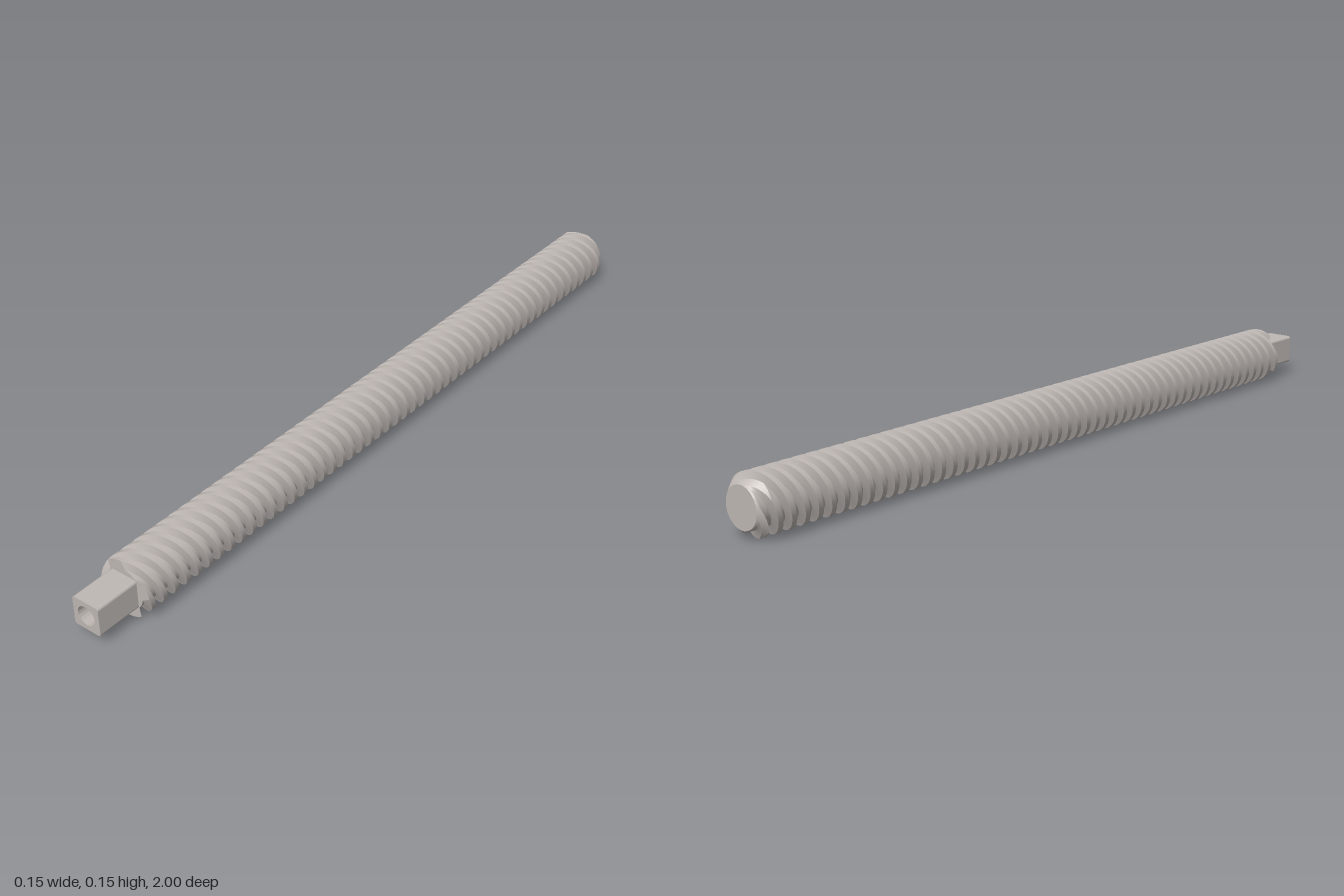
import * as THREE from 'three';

const AXIS_Y = 0.073;
const R = 0.073, ROOT = 0.053;          // crest and root radii
const STARTS = 4, LEAD = 0.147;         // four-start right-hand thread
const FRONT = 0.885, BACK = -1, CHAMFER = -0.975;
const DEG = Math.PI / 180;

// One start of the trapezoidal profile: [start angle, end angle, start radius, end radius, divisions]
const STRIPS = [
  [3.5, 36.5, R, R, 5],
  [36.5, 48.5, R, ROOT, 1],
  [48.5, 81.5, ROOT, ROOT, 4],
  [81.5, 93.5, ROOT, R, 1],
];

// Largest radius allowed at z, which cuts the rear chamfer
const limit = (z) => 0.05 + (R - 0.05) * Math.min(1, (z - BACK) / (CHAMFER - BACK));

function profilePoint(strip, t, start, z) {
  const [a0, a1, r0, r1] = strip;
  const a = (a0 + (a1 - a0) * t + start * 360 / STARTS) * DEG + (z - FRONT) / LEAD * Math.PI * 2;
  const r = Math.min(r0 + (r1 - r0) * t, limit(z));
  return [Math.cos(a) * r, Math.sin(a) * r, z];
}

// Sweeps every strip of the profile along the helix; strips share no vertices so edges stay sharp
function threadGeometry(z0, z1, steps) {
  const pos = [], index = [];
  for (let s = 0; s < STARTS; s++) {
    for (const strip of STRIPS) {
      const n = strip[4], base = pos.length / 3;
      for (let i = 0; i <= steps; i++) {
        const z = z0 + (z1 - z0) * i / steps;
        for (let j = 0; j <= n; j++) pos.push(...profilePoint(strip, j / n, s, z));
      }
      for (let i = 0; i < steps; i++) {
        for (let j = 0; j < n; j++) {
          const a = base + i * (n + 1) + j, b = a + 1, c = a + n + 1, d = c + 1;
          index.push(a, b, c, b, d, c);
        }
      }
    }
  }
  const g = new THREE.BufferGeometry();
  g.setAttribute('position', new THREE.Float32BufferAttribute(pos, 3));
  g.setIndex(index);
  g.computeVertexNormals();
  return g;
}

// Flat end face with the outline of the thread at z
function endCap(z) {
  const pts = [];
  for (let s = 0; s < STARTS; s++) {
    for (const strip of STRIPS) {
      for (let j = 0; j < strip[4]; j++) {
        const [x, y] = profilePoint(strip, j / strip[4], s, z);
        pts.push(new THREE.Vector2(x, y));
      }
    }
  }
  return new THREE.ShapeGeometry(new THREE.Shape(pts));
}

// Square drive with rounded corners and a round hole
function driveGeometry(half, corner, hole, depth) {
  const s = new THREE.Shape();
  const c = half - corner;
  s.absarc(c, c, corner, 0, Math.PI / 2);
  s.absarc(-c, c, corner, Math.PI / 2, Math.PI);
  s.absarc(-c, -c, corner, Math.PI, Math.PI * 1.5);
  s.absarc(c, -c, corner, Math.PI * 1.5, Math.PI * 2);
  s.closePath();
  s.holes.push(new THREE.Path().absarc(0, 0, hole, 0, Math.PI * 2, true));
  return new THREE.ExtrudeGeometry(s, { depth, bevelEnabled: false, curveSegments: 10 });
}

export function createModel() {
  const model = new THREE.Group();
  model.name = 'leadScrew';
  const steel = new THREE.MeshStandardMaterial({ color: 0xbfb8b4 });
  steel.name = 'steel';
  const steelInside = new THREE.MeshStandardMaterial({ color: 0xbfb8b4, side: THREE.DoubleSide });
  steelInside.name = 'steelInside';

  const shaft = new THREE.Group();
  shaft.name = 'shaft';
  shaft.position.y = AXIS_Y;
  model.add(shaft);

  function add(name, geometry, material = steel) {
    const mesh = new THREE.Mesh(geometry, material);
    mesh.name = name;
    shaft.add(mesh);
    return mesh;
  }

  // Threaded rod with chamfered rear end
  add('thread', threadGeometry(CHAMFER, FRONT, 440));
  add('rearChamfer', threadGeometry(BACK, CHAMFER, 10));
  add('frontFace', endCap(FRONT)).position.z = FRONT;
  const rear = add('rearFace', new THREE.CircleGeometry(0.05, 48));
  rear.rotation.y = Math.PI;
  rear.position.z = BACK;

  // Square drive at the front with a drilled centre hole
  const HOLE = 0.025;
  add('squareDrive', driveGeometry(0.038, 0.007, HOLE, 1 - FRONT)).position.z = FRONT;
  const bottom = add('holeBottom', new THREE.ConeGeometry(HOLE, 0.016, 40, 1, true), steelInside);
  bottom.rotation.x = -Math.PI / 2;
  bottom.position.z = FRONT + 0.03;

  return model;
}
